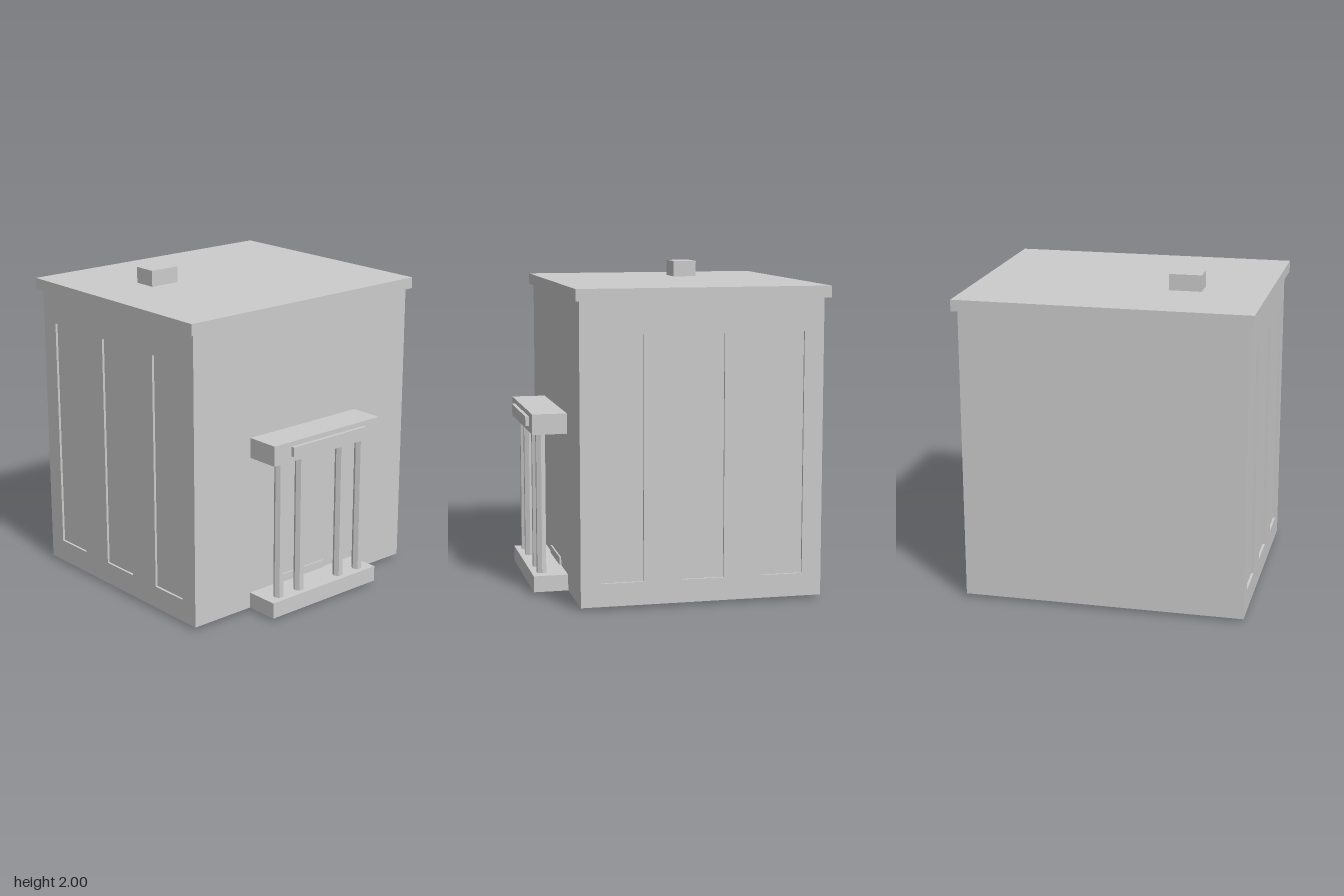
import * as THREE from 'three';

const grey = new THREE.MeshStandardMaterial({ color: 0xcccccc, side: THREE.DoubleSide });
grey.name = 'plain grey';

// Box given by its limits on each axis; a hollow one has no underside
function block(name, [x0, x1], [y0, y1], [z0, z1], hollow = false) {
  const geo = new THREE.BoxGeometry(x1 - x0, y1 - y0, z1 - z0);
  if (hollow) {
    const kept = Array.from(geo.index.array).filter((_, i) => i < 18 || i >= 24);
    geo.setIndex(kept);
    geo.clearGroups();
  }
  const mesh = new THREE.Mesh(geo, grey);
  mesh.name = name;
  mesh.position.set((x0 + x1) / 2, (y0 + y1) / 2, (z0 + z1) / 2);
  return mesh;
}

function rectangle(path, u0, u1, v0, v1) {
  path.moveTo(u0, v0);
  path.lineTo(u1, v0);
  path.lineTo(u1, v1);
  path.lineTo(u0, v1);
  path.closePath();
  return path;
}

export function createModel() {
  const model = new THREE.Group();
  model.name = 'building';

  const skin = 0.015;
  const inner = 0.87 - skin;
  const midZ = -0.1;

  // Hollow body, open underneath
  model.add(block('body', [-inner, inner], [0.02, 1.83], [-0.84, 0.64], true));

  // Side walls with three tall, shallow window recesses each
  const outline = rectangle(new THREE.Shape(), -0.74, 0.74, 0.02, 1.83);
  for (const u of [-0.49, 0, 0.49]) {
    outline.holes.push(rectangle(new THREE.Path(), u - 0.13, u + 0.13, 0.16, 1.63));
  }
  const wallGeo = new THREE.ExtrudeGeometry(outline, { depth: skin, bevelEnabled: false });
  for (const side of [-1, 1]) {
    const wall = new THREE.Mesh(wallGeo, grey);
    wall.name = side > 0 ? 'leftWall' : 'rightWall';
    wall.rotation.y = side * Math.PI / 2;
    wall.position.set(side * inner, 0, midZ);
    model.add(wall);
  }

  // Roof slab and chimney
  model.add(block('roof', [-0.9, 0.9], [1.83, 1.9], [-0.875, 0.665], true));
  model.add(block('chimney', [-0.5, -0.3], [1.9, 2], [-0.35, -0.2]));

  // Porch: base, canopy, sign board and door sill
  model.add(block('porchBase', [-0.435, 0.435], [0.02, 0.12], [0.64, 0.853], true));
  model.add(block('porchCanopy', [-0.435, 0.435], [0.995, 1.12], [0.64, 0.853]));
  model.add(block('signBoard', [-0.3, 0.3], [1.03, 1.09], [0.853, 0.875]));
  model.add(block('doorSill', [-0.18, 0.18], [0, 0.17], [0.63, 0.65]));

  // Six-sided porch columns with a flat face to the front
  const columnGeo = new THREE.CylinderGeometry(0.032, 0.032, 0.875, 6, 1, true).toNonIndexed();
  columnGeo.rotateY(Math.PI / 6);
  columnGeo.computeVertexNormals();
  for (const x of [-0.337, -0.17, 0.167, 0.335]) {
    const column = new THREE.Mesh(columnGeo, grey);
    column.name = 'porchColumn';
    column.position.set(x, 0.5575, 0.79);
    model.add(column);
  }

  return model;
}
